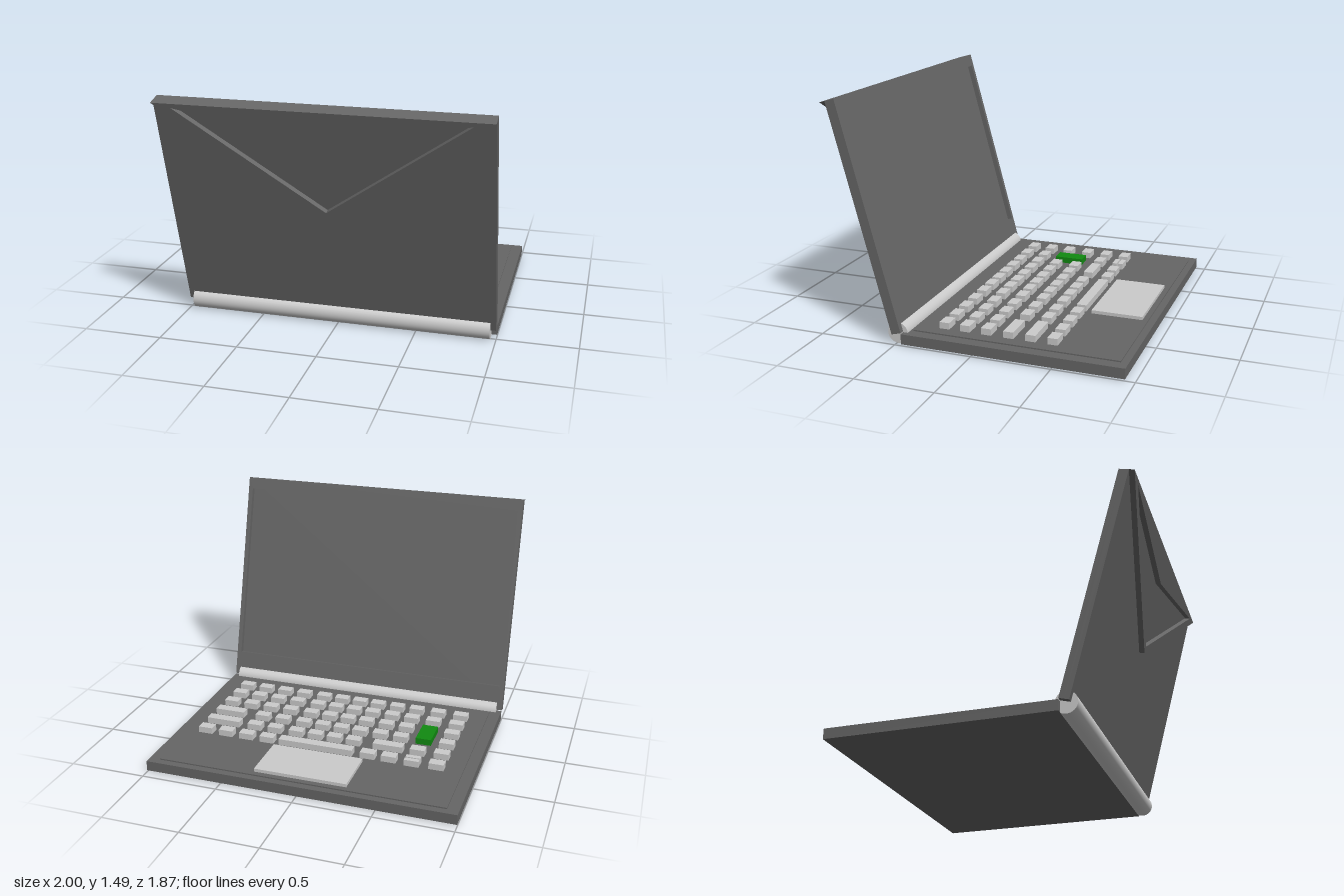
import * as THREE from 'three';

const grey = new THREE.MeshStandardMaterial({ color: 0xcccccc });
const dark = new THREE.MeshStandardMaterial({ color: 0x666666 });
const green = new THREE.MeshStandardMaterial({ color: 0x118a11 });

function add(parent, name, geometry, material) {
  const mesh = new THREE.Mesh(geometry, material);
  mesh.name = name;
  parent.add(mesh);
  return mesh;
}

// Box given by its limits on each axis
function box(parent, name, [x0, x1], [y0, y1], [z0, z1], material) {
  const mesh = add(parent, name, new THREE.BoxGeometry(x1 - x0, y1 - y0, z1 - z0), material);
  mesh.position.set((x0 + x1) / 2, (y0 + y1) / 2, (z0 + z1) / 2);
  return mesh;
}

// Polygon extruded from z0 to z1, with an optional hole
function plate(parent, name, outline, hole, z0, z1, material) {
  const points = (list) => list.map(([x, y]) => new THREE.Vector2(x, y));
  const shape = new THREE.Shape(points(outline));
  if (hole) shape.holes.push(new THREE.Path(points(hole)));
  const geometry = new THREE.ExtrudeGeometry(shape, { depth: z1 - z0, bevelEnabled: false });
  geometry.translate(0, 0, z0);
  return add(parent, name, geometry, material);
}

const rect = (w, y0, y1) => [[-w, y0], [w, y0], [w, y1], [-w, y1]];

function createKeyboard() {
  const keyboard = new THREE.Group();
  keyboard.name = 'keyboard';
  const columns = [-0.762, -0.605, -0.455, -0.316, -0.177, -0.046, 0.085, 0.219, 0.369, 0.513, 0.658, 0.802];
  // Each row: z centre, columns left out, wide keys by their x limits
  const rows = [
    { z: 0.236, skip: [], wide: [] },
    { z: 0.101, skip: [], wide: [] },
    { z: -0.037, skip: [1], wide: [] },
    { z: -0.18, skip: [1, 10, 11], wide: [[0.647, 0.85]] },
    { z: -0.32, skip: [2, 3, 10, 11], wide: [[-0.508, -0.312], [0.62, 0.85]] },
    { z: -0.459, skip: [1, 4, 5, 6, 7], wide: [[-0.214, 0.283]] },
  ];
  const y = [0.08, 0.124];
  for (const { z, skip, wide } of rows) {
    const depth = [z - 0.032, z + 0.032];
    columns.forEach((x, i) => {
      if (!skip.includes(i)) box(keyboard, 'key', [x - 0.048, x + 0.048], y, depth, grey);
    });
    for (const limits of wide) box(keyboard, 'wideKey', limits, y, depth, grey);
  }
  // Split pair of half keys
  for (const z of [-0.481, -0.439]) {
    box(keyboard, 'halfKey', [-0.653, -0.557], y, [z - 0.016, z + 0.016], grey);
  }
  box(keyboard, 'greenKey', [-0.658, -0.556], y, [-0.197, 0], green);
  return keyboard;
}

function createLid() {
  const lid = new THREE.Group();
  lid.name = 'lid';
  const height = 1.456;
  // Back half is solid, front half is a frame around the sunken screen
  plate(lid, 'lidBack', rect(1, 0, height), null, -0.03, 0, dark);
  plate(lid, 'screenFrame', rect(1, 0, height), rect(0.97, 0.165, 1.375), -0.063, -0.03, dark);
  // Raised triangular flap with a sunken chevron
  const flap = [[0, 0.74], [1, height], [-1, height]];
  const chevron = [[0, 0.787], [0.88, 1.43], [0, 1.243], [-0.88, 1.43]];
  plate(lid, 'flap', flap, chevron, 0, 0.035, dark);
  // Lean away from the keyboard
  lid.position.set(0, 0.065, 0.518);
  lid.rotation.x = THREE.MathUtils.degToRad(15.2);
  return lid;
}

export function createModel() {
  const model = new THREE.Group();
  model.name = 'laptop';

  box(model, 'base', [-1, 1], [0.01, 0.075], [-0.94, 0.457], dark);
  box(model, 'deck', [-0.927, 0.927], [0.07, 0.083], [-0.895, 0.405], dark);
  box(model, 'touchpad', [-0.3, 0.3], [0.08, 0.104], [-0.86, -0.53], grey);
  model.add(createKeyboard());

  const hinge = add(model, 'hinge', new THREE.CylinderGeometry(0.067, 0.067, 1.93, 32), grey);
  hinge.rotation.z = Math.PI / 2;
  hinge.position.set(0, 0.067, 0.492);

  model.add(createLid());
  return model;
}
